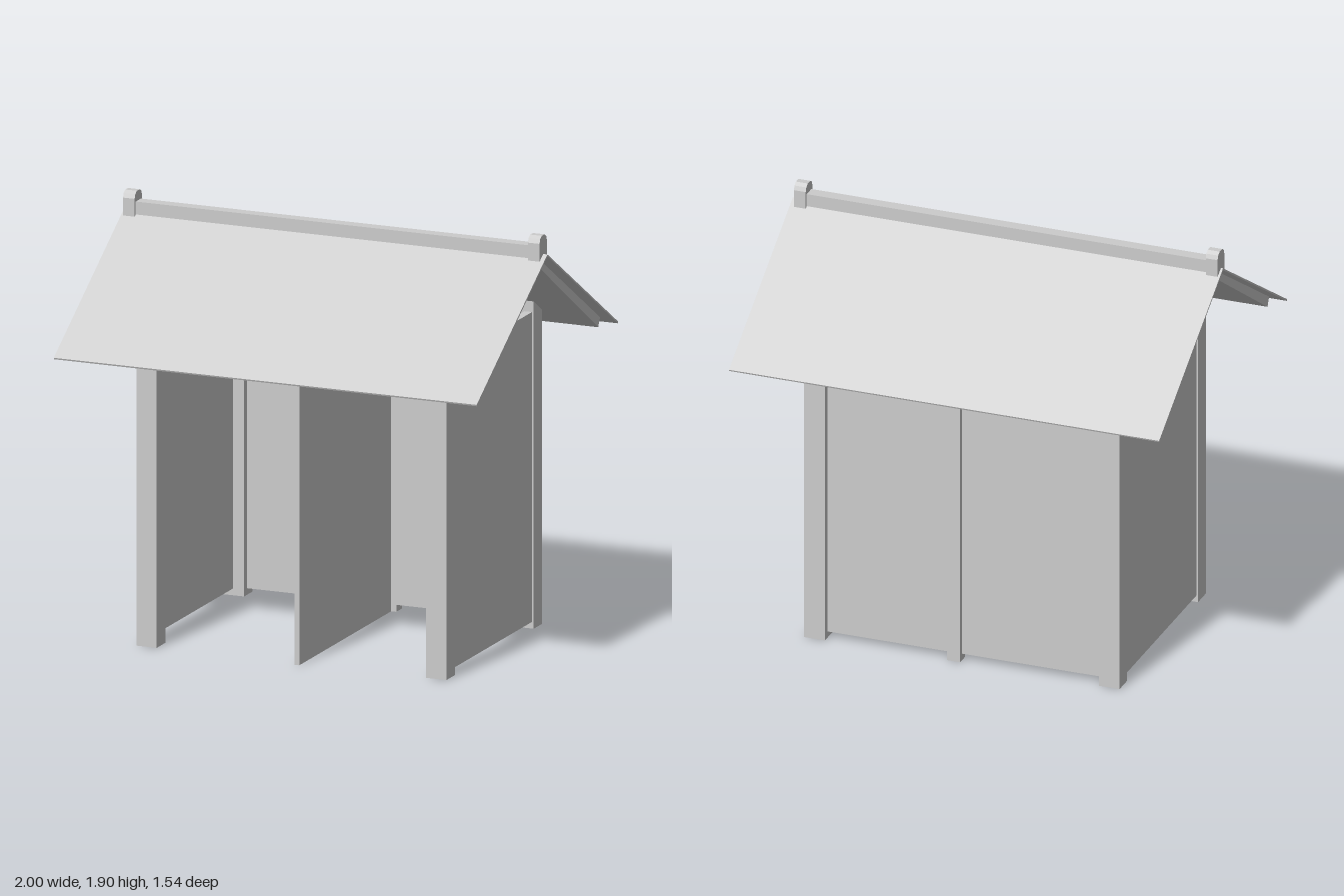
import * as THREE from 'three';

export function createModel() {
  const model = new THREE.Group();
  model.name = 'shelter';
  const grey = new THREE.MeshStandardMaterial({ color: 0xcccccc });
  grey.name = 'plain grey';

  // Prism with a [z, y] profile running along x from x0 to x1
  function prism(name, profile, x0, x1) {
    const shape = new THREE.Shape(profile.map(([z, y]) => new THREE.Vector2(z, y)));
    const geo = new THREE.ExtrudeGeometry(shape, { depth: x1 - x0, bevelEnabled: false });
    geo.rotateY(-Math.PI / 2).translate(x1, 0, 0);
    const mesh = new THREE.Mesh(geo, grey);
    mesh.name = name;
    model.add(mesh);
  }

  function box(name, x0, x1, y0, y1, z0, z1) {
    const mesh = new THREE.Mesh(new THREE.BoxGeometry(x1 - x0, y1 - y0, z1 - z0), grey);
    mesh.position.set((x0 + x1) / 2, (y0 + y1) / 2, (z0 + z1) / 2);
    mesh.name = name;
    model.add(mesh);
  }

  // Height of the underside of the roof boards
  const under = (z) => 1.775 - 0.655 * Math.abs(z);

  // Upright whose top is cut to the roof slope
  function upright(name, x0, x1, y0, z0, z1) {
    prism(name, [[z0, y0], [z1, y0], [z1, under(z1)], [z0, under(z0)]], x0, x1);
  }

  // Corner posts and side walls
  for (const [side, s] of [['left', 1], ['right', -1]]) {
    const span = (a, b) => (s > 0 ? [a, b] : [-b, -a]);
    upright(side + 'FrontPost', ...span(0.637, 0.733), 0, 0.39, 0.485);
    upright(side + 'BackPost', ...span(0.637, 0.733), 0, -0.555, -0.465);
    box(side + 'Wall', ...span(0.69, 0.725), 0.03, 1.42, -0.465, 0.39);
  }

  // Back wall, its middle post and the dividing panel
  upright('backWall', -0.637, 0.637, 0.03, -0.525, -0.495);
  upright('middleBackPost', 0.01, 0.072, 0, -0.55, -0.49);
  box('divider', 0.025, 0.048, 0, 1.37, -0.49, 0.51);

  // Roof: inset boards below a thin overhanging sheet
  prism('roofBoards', [[0, 1.812], [-0.71, 1.36], [-0.69, 1.32], [0, 1.775], [0.69, 1.32], [0.71, 1.36]], -0.94, 0.94);
  prism('roofSheet', [[0, 1.82], [-0.77, 1.332], [-0.767, 1.325], [0, 1.811], [0.767, 1.325], [0.77, 1.332]], -1, 1);

  // Ridge beam with a rounded block at each end
  box('ridgeBeam', -0.94, 0.93, 1.8, 1.86, -0.028, 0.028);
  const cap = [[-0.04, 1.795], [0.04, 1.795], [0.04, 1.875], [0.033, 1.894], [0.015, 1.905],
    [-0.015, 1.905], [-0.033, 1.894], [-0.04, 1.875]];
  prism('rightRidgeEnd', cap, -0.99, -0.935);
  prism('leftRidgeEnd', cap, 0.925, 0.98);

  return model;
}
